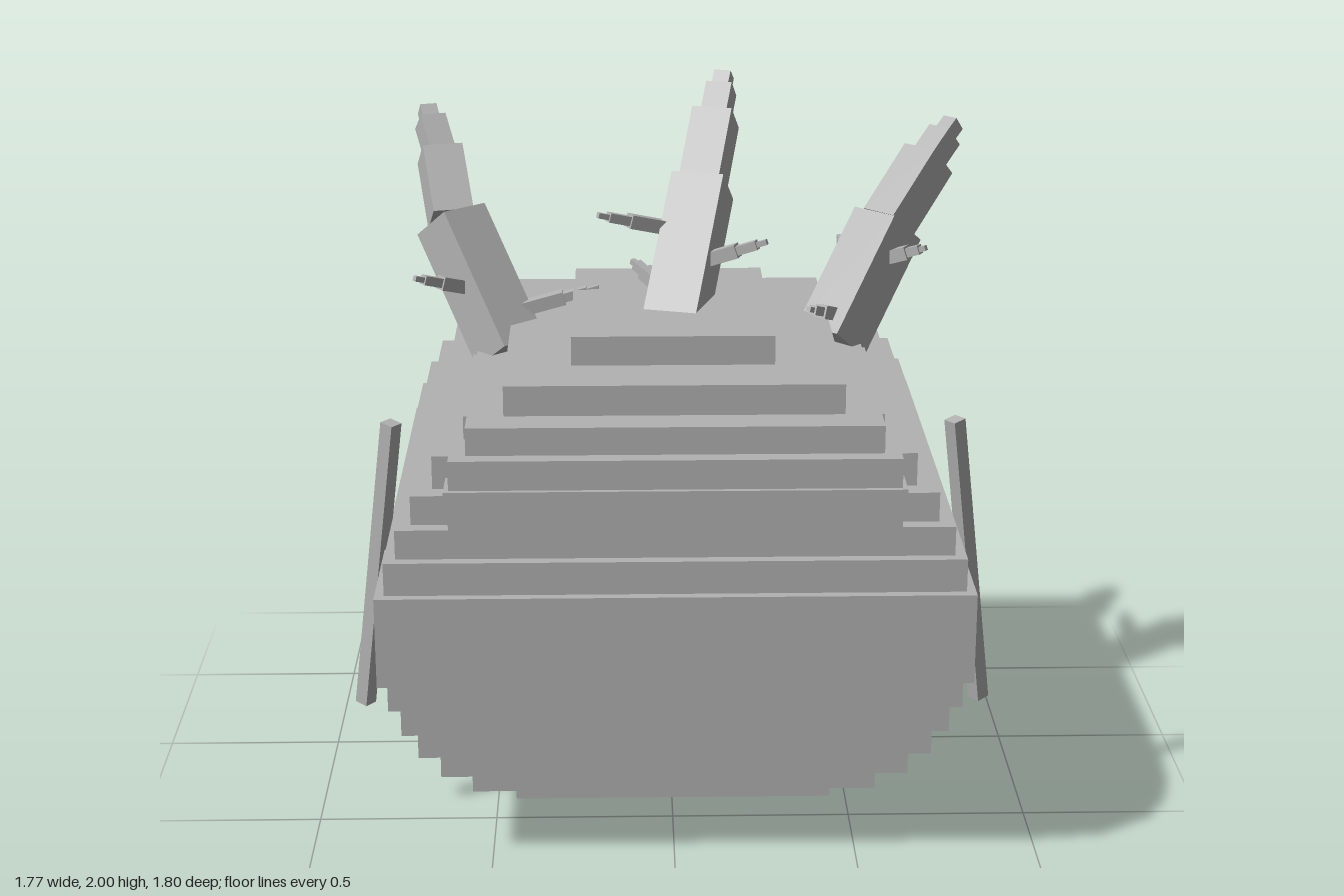
import * as THREE from 'three';

export function createModel() {
  const root = new THREE.Group();
  const grey = new THREE.MeshStandardMaterial({ color: 0xb2b2b2 });
  grey.name = 'stone grey';
  const V = (p) => new THREE.Vector3(...p);

  function slab(name, parent, half, y0, y1, z0, z1) {
    const m = new THREE.Mesh(new THREE.BoxGeometry(half * 2, y1 - y0, z1 - z0), grey);
    m.position.set(0, (y0 + y1) / 2, (z0 + z1) / 2);
    m.name = name;
    parent.add(m);
  }

  // Square beam running from a to b, its cross edge kept level
  function beam(name, parent, a, b, w) {
    const m = new THREE.Mesh(new THREE.BoxGeometry(w, w, a.distanceTo(b)), grey);
    m.position.copy(a).add(b).multiplyScalar(0.5);
    m.lookAt(b);
    m.name = name;
    parent.add(m);
  }

  // Stepped round body: [half width, bottom, top]
  const body = new THREE.Group();
  body.name = 'body';
  root.add(body);
  const layers = [
    [0.265, 0, 0.088], [0.44, 0.088, 0.17], [0.555, 0.17, 0.255], [0.635, 0.255, 0.34],
    [0.69, 0.34, 0.425], [0.73, 0.425, 0.51], [0.76, 0.51, 0.59], [0.785, 0.59, 0.84],
    [0.76, 0.84, 0.93], [0.73, 0.93, 1.01], [0.69, 1.01, 1.09], [0.635, 1.09, 1.18],
    [0.555, 1.18, 1.262], [0.445, 1.262, 1.355], [0.268, 1.355, 1.435],
  ];
  for (const [h, y0, y1] of layers) slab('bodyLayer', body, h, y0, y1, 0.115 - h, 0.115 + h);

  // Stepped cap, set further forward
  const cap = new THREE.Group();
  cap.name = 'cap';
  root.add(cap);
  const capLayers = [
    [0.59, 0.97, 1.05], [0.6, 1.05, 1.12], [0.587, 1.12, 1.2],
    [0.543, 1.2, 1.275], [0.447, 1.275, 1.357], [0.272, 1.357, 1.437],
  ];
  for (const [h, y0, y1] of capLayers) slab('capLayer', cap, h, y0, y1, 0.262 - h, 0.262 + h);

  // Tail
  const tail = new THREE.Mesh(new THREE.BoxGeometry(0.195, 0.7, 0.2), grey);
  tail.position.set(0, 0.567, -0.634);
  tail.rotation.x = 0.545;
  tail.name = 'tail';
  root.add(tail);

  // Arms
  for (const s of [1, -1]) {
    beam(s > 0 ? 'leftArm' : 'rightArm', root, V([s * 0.753, 1.212, 0.57]), V([s * 0.859, 0.362, 0.489]), 0.04);
  }

  // Spikes: joints from base to tip, plus thorns as [base, tip]
  const widths = [0.15, 0.115, 0.075, 0.048];
  const spikes = [
    {
      name: 'middleSpike',
      joints: [[0.01, 1.38, 0.25], [0.095, 1.713, -0.025], [0.136, 1.879, -0.162], [0.154, 1.95, -0.222], [0.163, 1.985, -0.25]],
      thorns: [[[-0.01, 1.62, 0.09], [-0.2, 1.68, 0.185]], [[0.09, 1.54, 0.15], [0.265, 1.61, 0.215]], [[-0.03, 1.46, 0.11], [-0.105, 1.505, 0.02]]],
    },
    {
      name: 'rightSpike',
      joints: [[-0.45, 1.27, 0.12], [-0.62, 1.61, -0.06], [-0.655, 1.77, -0.19], [-0.685, 1.85, -0.26], [-0.695, 1.88, -0.29]],
      thorns: [[[-0.56, 1.44, 0.06], [-0.71, 1.5, 0.175]], [[-0.42, 1.38, 0.07], [-0.2, 1.44, 0.065]], [[-0.54, 1.45, -0.07], [-0.545, 1.49, -0.2]]],
    },
    {
      name: 'leftSpike',
      joints: [[0.46, 1.28, 0.06], [0.63, 1.58, -0.1], [0.755, 1.745, -0.21], [0.805, 1.805, -0.255], [0.832, 1.835, -0.28]],
      thorns: [[[0.62, 1.5, -0.02], [0.725, 1.545, 0.045]], [[0.47, 1.36, 0.07], [0.385, 1.405, 0.175]], [[0.53, 1.44, -0.1], [0.505, 1.5, -0.26]]],
    },
  ];
  for (const { name, joints, thorns } of spikes) {
    const g = new THREE.Group();
    g.name = name;
    root.add(g);
    widths.forEach((w, i) => beam('spikeSegment', g, V(joints[i]), V(joints[i + 1]), w));
    for (const [p, q] of thorns) {
      const a = V(p), b = V(q), at = (t) => a.clone().lerp(b, t);
      [[0, 0.55, 0.038], [0.55, 0.85, 0.026], [0.85, 1, 0.015]]
        .forEach(([t0, t1, w]) => beam('thornSegment', g, at(t0), at(t1), w));
    }
  }
  return root;
}
